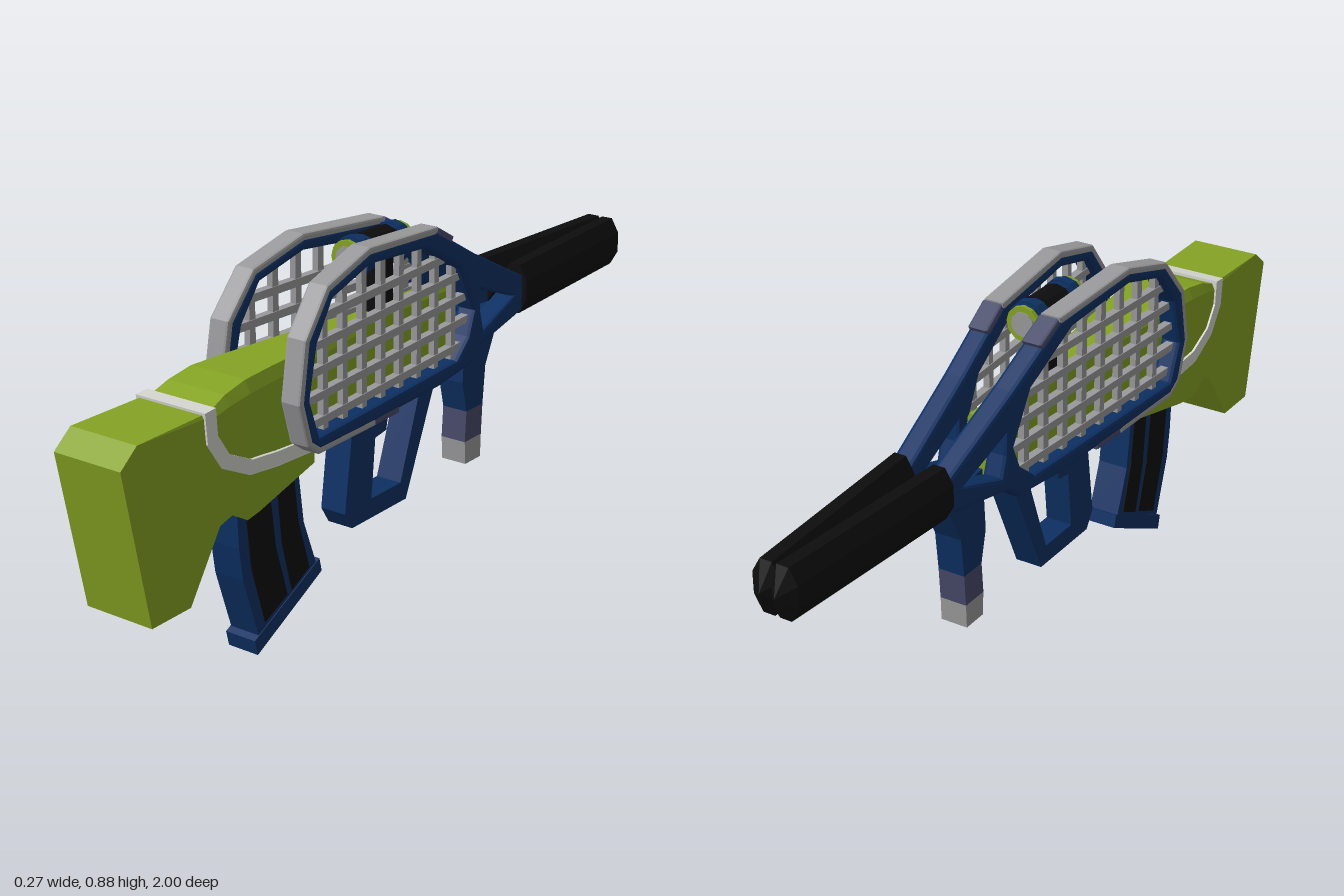
import * as THREE from 'three';

const mat = (name, hex) => {
  const m = new THREE.MeshStandardMaterial({ color: hex });
  m.name = name;
  return m;
};

export function createModel() {
  const root = new THREE.Group();
  const green = mat('ball green', 0x86a424), blue = mat('frame blue', 0x0d3063);
  const black = mat('grip black', 0x0d0d0d), grey = mat('string grey', 0x9a9a9c);
  const slate = mat('slate', 0x474a6a), white = mat('seam white', 0xd4d4ce);

  // Moves vertices by a rule, facets the geometry and adds it as a mesh.
  const add = (name, material, geometry, move) => {
    const g = geometry.index ? geometry.toNonIndexed() : geometry;
    if (move) {
      const p = g.attributes.position;
      const v = new THREE.Vector3();
      for (let i = 0; i < p.count; i++) {
        move(v.fromBufferAttribute(p, i));
        p.setXYZ(i, v.x, v.y, v.z);
      }
    }
    g.computeVertexNormals();
    const mesh = new THREE.Mesh(g, material);
    mesh.name = name;
    root.add(mesh);
    return mesh;
  };
  const vecs = pts => pts.map(([a, b]) => new THREE.Vector2(a, b));

  // Side outline in (z, y), extruded to a width centred on x = 0.
  const slab = (pts, width, bevel = 0, holes = []) => {
    const shape = new THREE.Shape(vecs(pts));
    holes.forEach(h => shape.holes.push(new THREE.Path(vecs(h))));
    const depth = width - 2 * bevel;
    return new THREE.ExtrudeGeometry(shape, {
      depth, bevelEnabled: bevel > 0, bevelSize: bevel, bevelThickness: bevel,
      bevelOffset: -bevel, bevelSegments: 2,
    }).translate(0, 0, -depth / 2).rotateY(-Math.PI / 2);
  };

  // Closed outline of a strip of width w along a polyline.
  const strip = (pts, w) => {
    const left = [], right = [];
    pts.forEach(([z, y], i) => {
      const a = pts[Math.max(i - 1, 0)], b = pts[Math.min(i + 1, pts.length - 1)];
      const l = Math.hypot(b[0] - a[0], b[1] - a[1]);
      const nz = -(b[1] - a[1]) / l * w / 2, ny = (b[0] - a[0]) / l * w / 2;
      left.push([z + nz, y + ny]);
      right.unshift([z - nz, y - ny]);
    });
    return [...left, ...right];
  };

  // Stock: rings of [top z, top y, bottom z, bottom y, half width, top chamfer]
  const rings = [
    [1, .61, .93, .24, .09, 0], [.95, .65, .905, .24, .09, 0], [.75, .65, .81, .24, .09, .004],
    [.72, .65, .71, .39, .09, .008], [.67, .668, .67, .4, .09, .012], [.6, .68, .62, .37, .089, .014],
    [.5, .68, .57, .37, .08, .014], [.36, .677, .36, .41, .066, .012], [.355, .677, .37, .465, .066, .012],
    [.14, .67, .14, .47, .045, .008], [.139, .67, .139, .47, .03, .005], [-.24, .665, -.24, .47, .03, .005],
  ];
  const pos = [], idx = [], n = 6;
  rings.forEach(([zt, yt, zb, yb, h, c], r) => {
    const k = 1 - 2 * c / (yt - yb), zs = zb + (zt - zb) * k, ys = yb + (yt - yb) * k;
    pos.push(-h, yb, zb, h, yb, zb, h, ys, zs, h - c, yt, zt, c - h, yt, zt, -h, ys, zs);
    for (let i = 0; i < n && r; i++) {
      const a = (r - 1) * n + i, b = (r - 1) * n + (i + 1) % n;
      idx.push(a, a + n, b, b, a + n, b + n);
    }
  });
  const last = (rings.length - 1) * n;
  for (let i = 1; i < n - 1; i++) idx.push(0, i, i + 1, last, last + i + 1, last + i);
  const stock = new THREE.BufferGeometry();
  stock.setAttribute('position', new THREE.Float32BufferAttribute(pos, 3));
  stock.setIndex(idx);
  add('stock', green, stock);

  // Seam wrapping the stock, following its taper
  const halfWidth = z => Math.min(.09, .045 + (z - .14) * .097);
  const seam = [[.735, .657], [.73, .59], [.69, .53], [.61, .49], [.51, .474], [.36, .458]];
  add('seam', white, slab(strip(seam, .034), 2), v => { v.x = Math.sign(v.x) * (halfWidth(v.z) + .005); });

  // Rackets
  const rim = [[-.06, .85], [.22, .872], [.38, .83], [.46, .735], [.485, .6], [.455, .5], [.42, .475], [.2, .468]];
  const outer = [...rim, [-.07, .465], [-.22, .476], [-.26, .51], [-.47, .545], [-.47, .635], [-.24, .75]];
  const inner = [[.455, .6], [.425, .72], [.365, .805], [.22, .842], [-.01, .82], [-.17, .73],
    [-.235, .61], [-.21, .55], [-.155, .505], [.42, .505]];
  const throat = [[-.262, .655], [-.42, .595], [-.28, .55], [-.265, .6]];
  // Extent of the head opening along a line where coordinate `axis` equals c.
  const span = (axis, c) => {
    const hits = [];
    inner.forEach((a, i) => {
      const b = inner[(i + 1) % inner.length];
      if ((a[axis] - c) * (b[axis] - c) < 0) {
        const t = (c - a[axis]) / (b[axis] - a[axis]);
        hits.push(a[1 - axis] + t * (b[1 - axis] - a[1 - axis]));
      }
    });
    return [Math.min(...hits) - .01, Math.max(...hits) + .01];
  };
  for (const side of [1, -1]) {
    const splay = v => { v.x += side * (.079 + .06 * v.z); };
    const tag = side > 0 ? 'left ' : 'right ';
    add(tag + 'racketFrame', blue, slab(outer, .056, .01, [inner, throat]), splay);
    add(tag + 'rimGuard', grey, slab(strip(rim, .02), .054, .006), splay);
    add(tag + 'upperGuardEnd', slate, slab(strip([[-.06, .85], [-.13, .811]], .02), .054, .006), splay);
    add(tag + 'lowerGuardEnd', slate, slab(strip([[.2, .468], [.1, .467]], .02), .054, .006), splay);
    for (let i = 0; i < 8; i++) {
      const z = .372 - i * .0765, [a, b] = span(0, z);
      add(tag + 'uprightString', grey, new THREE.BoxGeometry(.016, b - a, .019).translate(0, (a + b) / 2, z), splay);
    }
    for (let i = 0; i < 5; i++) {
      const y = .765 - i * .059, [a, b] = span(1, y);
      add(tag + 'crossString', grey, new THREE.BoxGeometry(.02, .019, b - a).translate(0, y, (a + b) / 2), splay);
    }
    const handle = new THREE.LatheGeometry(vecs([[0, 0], [.068, .03], [.068, .53], [0, .53]]), 8, Math.PI / 8);
    add(tag + 'handle', black, handle.rotateX(Math.PI / 2).scale(.58, 1, 1).translate(0, .597, -1), splay);
  }

  // Scope on its post
  const tube = (name, material, r, z0, z1) => add(name, material,
    new THREE.CylinderGeometry(r, r, z1 - z0, 12).rotateX(Math.PI / 2).translate(0, .817, (z0 + z1) / 2));
  tube('scopeBody', blue, .045, -.045, .14);
  tube('scopeSleeve', black, .047, 0, .09);
  for (const [z, s] of [[.14, 1], [-.045, -1]]) {
    tube('scopeCollar', blue, .05, z - .012 - s * .02, z + .012 - s * .02);
    tube('scopeRing', green, .044, z - .01, z + .01);
    tube('scopeLens', grey, .03, z + s * .01 - .003, z + s * .01 + .003);
  }
  add('scopePost', black, new THREE.BoxGeometry(.04, .13, .065).translate(0, .725, .033));

  // Magazine with side inlays and base
  add('magazine', blue, slab([[.6, .42], [.594, .278], [.583, .198], [.535, .045],
    [.326, .144], [.369, .262], [.39, .43]], .08));
  add('magazineInlay', black, slab([[.572, .39], [.492, .41], [.471, .24], [.433, .107], [.513, .07], [.556, .22]], .084));
  add('magazineInlay', black, slab([[.465, .41], [.406, .415], [.39, .273], [.353, .144], [.417, .112], [.449, .24]], .084));
  add('magazineBase', blue, slab([[.551, .038], [.316, .152], [.308, .118], [.542, 0]], .084));

  // Pistol grip with its guard, and the trigger
  add('pistolGrip', blue, slab([[.171, .48], [.209, .22], [.182, .176], [-.032, .176], [-.166, .478], [-.102, .478],
    [-.01, .225], [.107, .225], [.091, .374], [.048, .38], [.027, .478]], .07));
  add('trigger', green, slab([[.055, .48], [.01, .48], [.02, .41], [.05, .385]], .03));

  // Foregrip with banded tip
  add('foregrip', blue, slab([[-.28, .56], [-.27, .4], [-.289, .32], [-.36, .32], [-.37, .42], [-.41, .5], [-.465, .55]], .07));
  add('foregripBand', slate, slab([[-.289, .32], [-.283, .24], [-.355, .24], [-.36, .32]], .07));
  add('foregripTip', grey, slab([[-.283, .24], [-.287, .18], [-.353, .18], [-.355, .24]], .07));
  return root;
}
